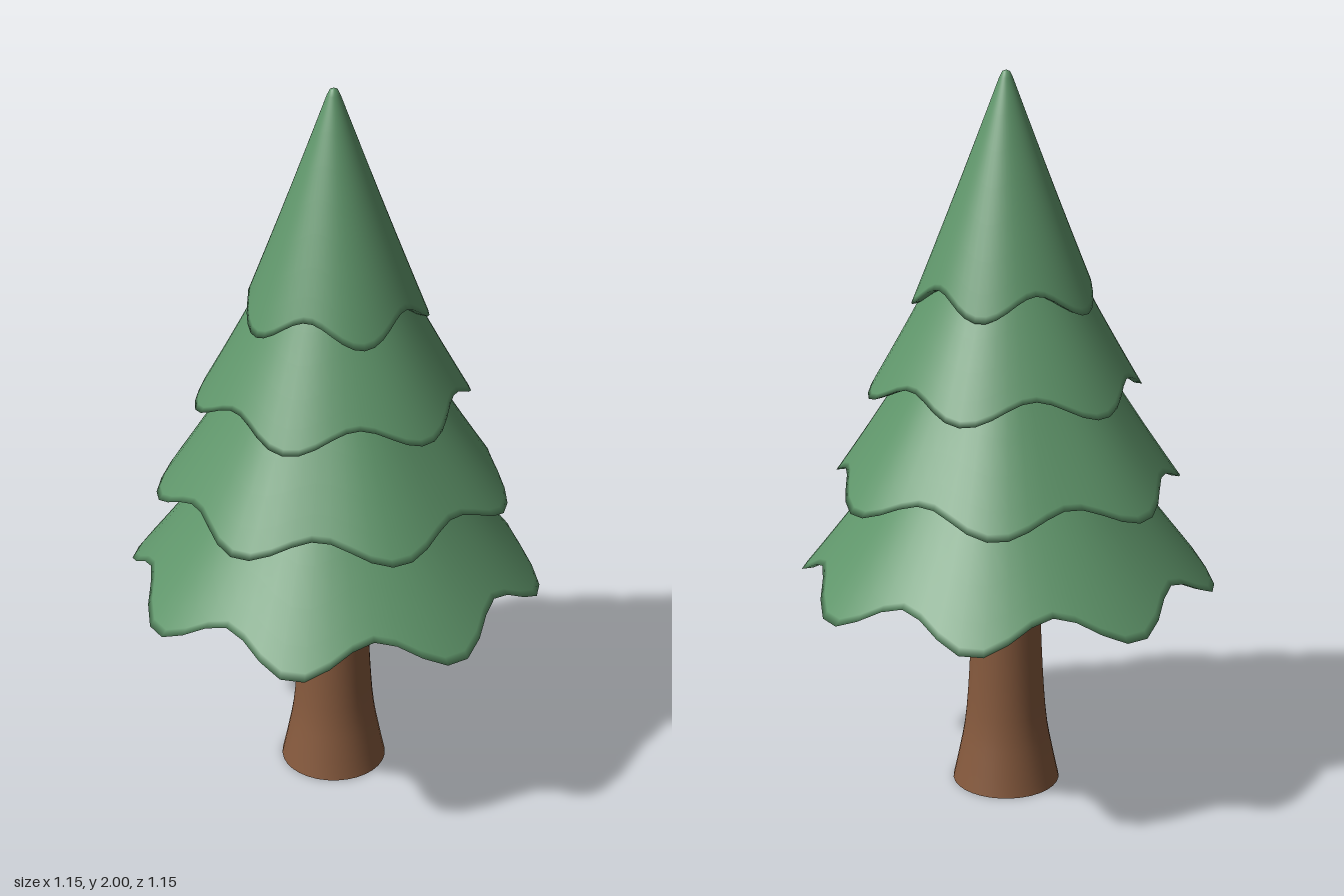
import * as THREE from 'three';
import { mergeVertices } from 'three/addons/utils/BufferGeometryUtils.js';

const SEGMENTS = 56;

// Weld the seam of a lathe so that it shades smoothly all round
function weld(geometry) {
  geometry.deleteAttribute('uv');
  geometry.deleteAttribute('normal');
  const welded = mergeVertices(geometry, 1e-5);
  welded.computeVertexNormals();
  return welded;
}

// One skirt of foliage: a hollow cone with a thin lip and a scalloped rim.
// phase is the direction of one lobe, in degrees from +x towards +z.
function tierGeometry({ lobes, phase, rim, rimY, top, topY, bow, dr, dy, tip }) {
  const profile = [
    [0, rimY + 0.13],
    [rim * 0.45, rimY + 0.092],
    [rim * 0.75, rimY + 0.06],
    [rim - 0.04, rimY + 0.027],
    [rim - 0.022, rimY + 0.004],
    [rim, rimY],
  ];
  for (const t of [0.03, 0.12, 0.25, 0.4, 0.55, 0.7, 0.85, 1]) {
    profile.push([
      THREE.MathUtils.lerp(rim, top, t) - bow * Math.sin(Math.PI * t),
      THREE.MathUtils.lerp(rimY, topY, t),
    ]);
  }
  if (tip) profile.push([top * 0.55, tip - 0.004]);
  profile.push([0, tip || topY + 0.02]);

  const geometry = new THREE.LatheGeometry(profile.map(([r, y]) => new THREE.Vector2(r, y)), SEGMENTS);

  // Between lobes, pull the rim in and up; the wave fades towards the axis
  const position = geometry.attributes.position;
  for (let i = 0; i < position.count; i++) {
    const x = position.getX(i), y = position.getY(i), z = position.getZ(i);
    const r = Math.hypot(x, z);
    if (r < 1e-6) {
      position.setXYZ(i, 0, y, 0);
      continue;
    }
    const angle = Math.atan2(z, x) - THREE.MathUtils.degToRad(phase);
    const fade = Math.max(0, (r - top) / (rim - top));
    const wave = 0.5 * (1 - Math.cos(lobes * angle)) * fade;
    const scale = (r - dr * wave) / r;
    position.setXYZ(i, x * scale, y + dy * wave, z * scale);
  }
  return weld(geometry);
}

export function createModel() {
  const group = new THREE.Group();
  group.name = 'pineTree';

  const needles = new THREE.MeshStandardMaterial({ color: 0x5f956a });
  needles.name = 'needleGreen';
  const bark = new THREE.MeshStandardMaterial({ color: 0x85593d });
  bark.name = 'barkBrown';

  // Trunk, flared at the foot
  const trunkCurve = new THREE.SplineCurve([
    [0.15, 0], [0.133, 0.08], [0.115, 0.18], [0.104, 0.32], [0.096, 0.5], [0.09, 0.62], [0.085, 0.8],
  ].map(([r, y]) => new THREE.Vector2(r, y)));
  const trunk = new THREE.Mesh(weld(new THREE.LatheGeometry(trunkCurve.getPoints(16), 32)), bark);
  trunk.name = 'trunk';
  const base = new THREE.Mesh(new THREE.CircleGeometry(0.15, 32).rotateX(Math.PI / 2), bark);
  base.name = 'trunkBase';
  group.add(trunk, base);

  // Foliage, from the widest skirt up to the pointed crown
  const tiers = [
    { name: 'bottomFoliage', lobes: 8, phase: 3, rim: 0.577, rimY: 0.602, top: 0.15, topY: 1.2, bow: 0.015, dr: 0.066, dy: 0.08 },
    { name: 'lowerFoliage', lobes: 7, phase: 17, rim: 0.485, rimY: 0.88, top: 0.13, topY: 1.45, bow: 0.012, dr: 0.05, dy: 0.06 },
    { name: 'upperFoliage', lobes: 6, phase: -3, rim: 0.375, rimY: 1.143, top: 0.1, topY: 1.65, bow: 0.006, dr: 0.04, dy: 0.06 },
    { name: 'crownFoliage', lobes: 5, phase: 91, rim: 0.252, rimY: 1.385, top: 0.018, topY: 1.98, bow: 0.002, dr: 0.028, dy: 0.065, tip: 2 },
  ];
  for (const tier of tiers) {
    const mesh = new THREE.Mesh(tierGeometry(tier), needles);
    mesh.name = tier.name;
    group.add(mesh);
  }
  return group;
}
